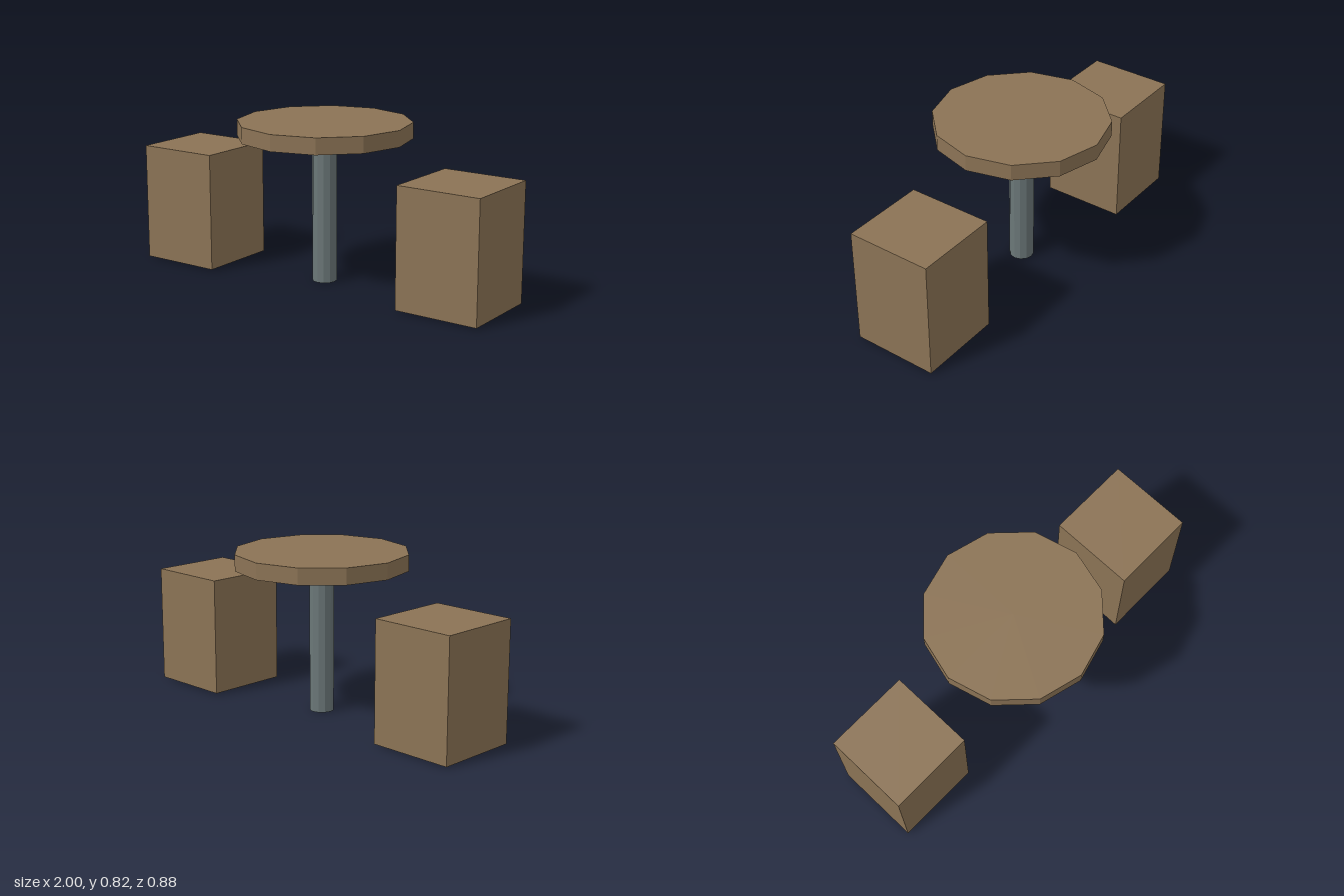
import * as THREE from 'three';

export function createModel() {
  const group = new THREE.Group();
  const wood = new THREE.MeshStandardMaterial({ color: 0x8b7355, flatShading: true });
  const metal = new THREE.MeshStandardMaterial({ color: 0x6b7778, flatShading: true });

  const add = (name, geometry, material, x, bottom, height) => {
    const mesh = new THREE.Mesh(geometry, material);
    mesh.name = name;
    mesh.position.set(x, bottom + height / 2, 0);
    group.add(mesh);
  };

  // Twelve-sided table on a single post
  add('tableTop', new THREE.CylinderGeometry(0.4375, 0.4375, 0.082, 12), wood, 0, 0.737, 0.082);
  add('tablePost', new THREE.CylinderGeometry(0.0625, 0.0625, 0.737, 12), metal, 0, 0, 0.737);

  // Block seats on either side, just clear of the ground
  for (const [name, side] of [['leftSeat', 1], ['rightSeat', -1]]) {
    add(name, new THREE.BoxGeometry(0.4375, 0.605, 0.4375), wood, side * 0.78125, 0.006, 0.605);
  }

  return group;
}
